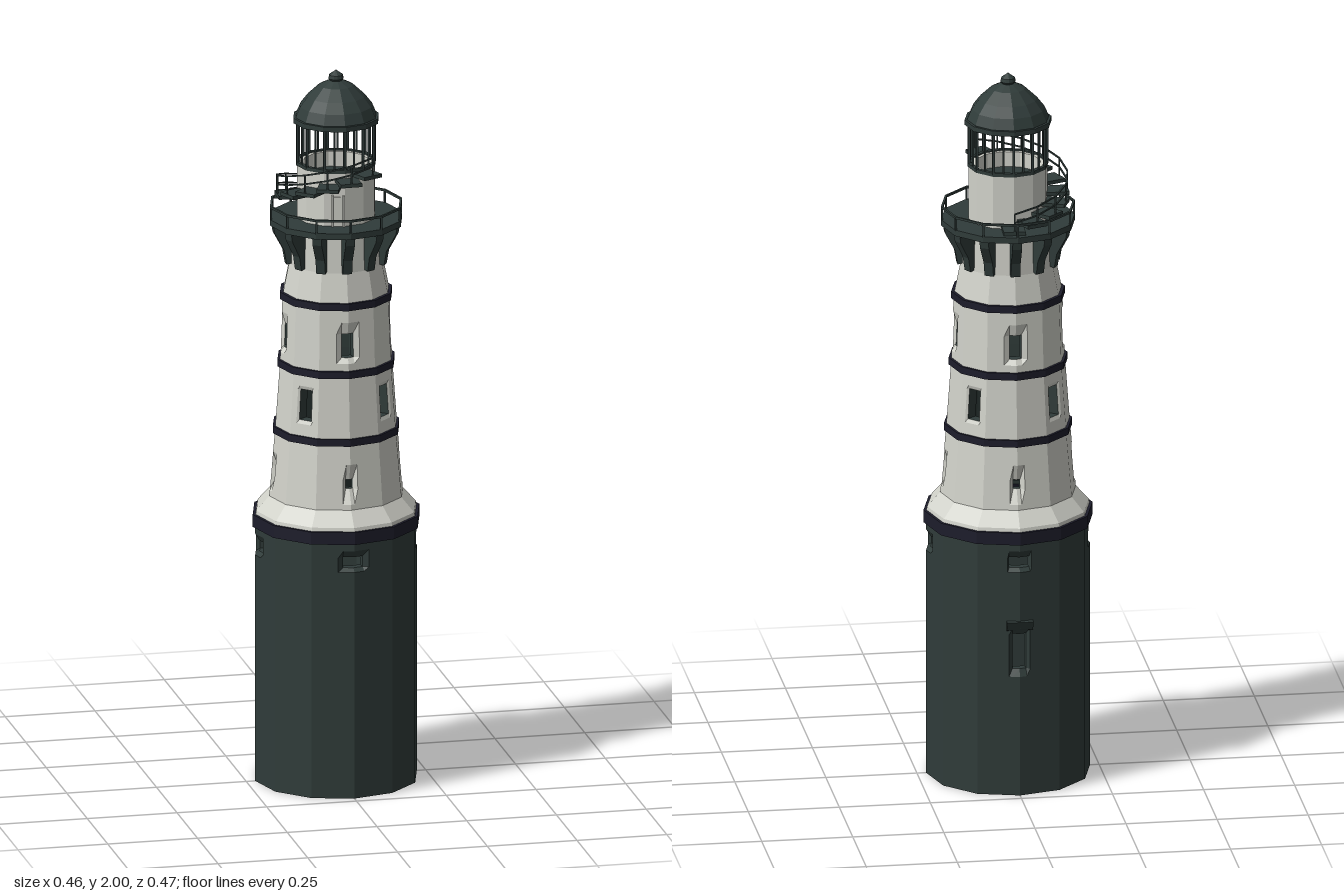
import * as THREE from 'three';

const SIDES = 12, RAD = Math.PI / 180;

const material = (name, color) => {
  const m = new THREE.MeshStandardMaterial({ color, flatShading: true });
  m.name = name;
  return m;
};

// Point at an angle (0 = front, 90 = left), radius and height
const polar = (deg, r, y) => new THREE.Vector3(Math.sin(deg * RAD) * r, y, Math.cos(deg * RAD) * r);
const angleGap = (a, b) => Math.abs(((a - b + 900) % 360) - 180);

// Hollow twelve-sided wall with real openings; returns [outer skin, lining and reveals]
function wallGeometries(profile, thickness, holes) {
  const radiusAt = (y) => {
    let i = 1;
    while (i < profile.length - 1 && y > profile[i][0]) i++;
    const [[y0, r0], [y1, r1]] = [profile[i - 1], profile[i]];
    return r0 + (r1 - r0) * (y - y0) / (y1 - y0);
  };
  const round = (v) => Math.round(v * 1e4) / 1e4;
  const angles = new Set(), heights = new Set(profile.map((p) => p[0]));
  for (let k = 0; k < SIDES; k++) angles.add(k * 30);
  for (const h of holes) {
    const r = radiusAt((h.y0 + h.y1) / 2);
    h.half = Math.atan(h.w / r) / RAD;
    const flare = Math.atan(h.flare / r) / RAD;
    for (const d of [-h.half, h.half, -flare, flare]) angles.add(round((h.a + d + 360) % 360));
    [h.bottom, h.y0, h.y1, h.top].forEach((y) => heights.add(y));
  }
  const th = [...angles].sort((a, b) => a - b), ys = [...heights].sort((a, b) => a - b);
  th.push(360);

  const facet = (t) => Math.cos(15 * RAD) / Math.cos(((t % 30) - 15) * RAD);
  const recess = (t, y) => {
    const h = holes.find((o) => angleGap(t, o.a) < o.half + 0.01 && y > o.y0 - 1e-4 && y < o.y1 + 1e-4);
    return h ? h.depth : 0;
  };
  const outer = (t, y) => polar(t, radiusAt(y) * facet(t) - recess(t, y), y);
  const inner = (t, y) => polar(t, (radiusAt(y) - thickness) * facet(t), y);
  const columns = th.length - 1;
  const open = (i, j) => {
    if (j < 0 || j >= ys.length - 1) return true;
    const c = (i + columns) % columns;
    const t = (th[c] + th[c + 1]) / 2, y = (ys[j] + ys[j + 1]) / 2;
    return holes.some((h) => angleGap(t, h.a) < h.half && y > h.y0 && y < h.y1);
  };

  const skin = [], lining = [];
  const quad = (list, a, b, c, d) => [a, b, c, a, c, d].forEach((p) => list.push(p.x, p.y, p.z));
  for (let i = 0; i < columns; i++) {
    for (let j = 0; j < ys.length - 1; j++) {
      if (open(i, j)) continue;
      const corners = [[i, j], [i + 1, j], [i + 1, j + 1], [i, j + 1]];
      const [o0, o1, o2, o3] = corners.map(([c, r]) => outer(th[c], ys[r]));
      const [n0, n1, n2, n3] = corners.map(([c, r]) => inner(th[c], ys[r]));
      quad(skin, o0, o1, o2, o3);
      quad(lining, n1, n0, n3, n2);
      if (open(i, j - 1)) quad(lining, n0, n1, o1, o0);
      if (open(i, j + 1)) quad(lining, o3, o2, n2, n3);
      if (open(i + 1, j)) quad(lining, o1, n1, n2, o2);
      if (open(i - 1, j)) quad(lining, n0, o0, o3, n3);
    }
  }
  return [skin, lining].map((list) => {
    const g = new THREE.BufferGeometry();
    g.setAttribute('position', new THREE.Float32BufferAttribute(list, 3));
    g.computeVertexNormals();
    return g;
  });
}

const lathe = (points) => new THREE.LatheGeometry(points.map(([r, y]) => new THREE.Vector2(r, y)), SIDES);
const ring = (r0, r1, y0, y1) => lathe([[r0, y0], [r1, y0], [r1, y1], [r0, y1], [r0, y0]]);

// Plate with a (radius, height) outline, centred on a radial direction
function fin(points, width, deg) {
  const shape = new THREE.Shape(points.map(([r, y]) => new THREE.Vector2(r, y)));
  const g = new THREE.ExtrudeGeometry(shape, { depth: width, bevelEnabled: false });
  return g.translate(0, 0, -width / 2).rotateY((deg - 90) * RAD);
}

export function createModel() {
  const model = new THREE.Group();
  model.name = 'lighthouse';
  const dark = material('darkGreen', 0x303c3a);
  const white = material('offWhite', 0xd2d3cb);
  const navy = material('navyBlack', 0x1d1d2b);

  const add = (name, geometry, mat, parent = model) => {
    const mesh = new THREE.Mesh(geometry, mat);
    mesh.name = name;
    parent.add(mesh);
    return mesh;
  };
  const group = (name) => {
    const g = new THREE.Group();
    g.name = name;
    model.add(g);
    return g;
  };
  const beam = (name, p, q, t, parent) => {
    const mesh = add(name, new THREE.BoxGeometry(t, t, p.distanceTo(q)), dark, parent);
    mesh.position.copy(p).lerp(q, 0.5);
    mesh.lookAt(q);
  };

  // Hollow base with slit windows and a rear doorway
  const axes = [0, 90, 180, 270];
  const baseHoles = axes.map((a) => (
    { a, w: 0.03, y0: 0.65, y1: 0.68, flare: 0.045, top: 0.7, bottom: 0.64, depth: 0.012 }));
  baseHoles.push({ a: 180, w: 0.02, y0: 0.36, y1: 0.46, flare: 0.034, top: 0.48, bottom: 0.34, depth: 0.012 });
  const [baseSkin, baseLining] = wallGeometries([[0, 0.225], [0.73, 0.225]], 0.035, baseHoles);
  add('baseWall', baseSkin, dark);
  add('baseLining', baseLining, dark);
  add('doorHood', fin([[0.205, 0.465], [0.222, 0.475], [0.235, 0.5], [0.205, 0.5]], 0.072, 180), dark);
  add('innerDoorScreen', new THREE.BoxGeometry(0.1, 0.4, 0.01).translate(0, 0.51, -0.15), dark);
  add('baseCollar', ring(0.18, 0.232, 0.72, 0.755), navy);

  // Tapering tower with three levels of windows
  const towerHoles = [];
  for (const a of axes) {
    towerHoles.push(
      { a, w: 0.011, y0: 0.86, y1: 0.885, flare: 0.05, top: 0.93, bottom: 0.82, depth: 0.018 },
      { a: a + 45, w: 0.02, y0: 1.045, y1: 1.13, flare: 0.026, top: 1.14, bottom: 1.035, depth: 0.004 },
      { a, w: 0.018, y0: 1.225, y1: 1.292, flare: 0.034, top: 1.325, bottom: 1.21, depth: 0.01 });
  }
  const towerProfile = [[0.75, 0.225], [0.765, 0.222], [0.805, 0.186], [0.99, 0.17], [1.18, 0.156],
    [1.37, 0.149], [1.46, 0.131], [1.575, 0.128]];
  const [towerSkin, towerLining] = wallGeometries(towerProfile, 0.035, towerHoles);
  add('towerWall', towerSkin, white);
  add('towerLining', towerLining, dark);
  for (const [r, y] of [[0.176, 0.992], [0.163, 1.18], [0.156, 1.37]])
    add('towerBand', ring(r - 0.025, r, y - 0.01, y + 0.01), navy);

  // Gallery deck, brackets and railing
  add('galleryDeck', ring(0.05, 0.184, 1.57, 1.587), dark);
  const brackets = group('galleryBrackets');
  const railing = group('galleryRailing');
  for (let k = 0; k < SIDES; k++) {
    const outline = [[0.12, 1.465], [0.14, 1.46], [0.147, 1.5], [0.174, 1.55], [0.178, 1.575], [0.12, 1.575]];
    add('bracket', fin(outline, 0.026, k * 30), dark, brackets);
    beam('post', polar(k * 30, 0.181, 1.585), polar(k * 30, 0.181, 1.624), 0.005, railing);
  }
  add('topRail', ring(0.178, 0.184, 1.619, 1.625), dark, railing);

  // Watch room below the lantern
  add('watchRoom', ring(0.09, 0.109, 1.585, 1.742), white);
  add('lanternFloor', ring(0, 0.1, 1.69, 1.7), dark);
  const door = group('watchRoomDoor');
  for (const deg of [-18, -2]) add('doorJamb', fin([[0.1, 1.587], [0.113, 1.587], [0.113, 1.675], [0.1, 1.675]], 0.005, deg), white, door);
  add('doorPanel', fin([[0.1, 1.587], [0.1085, 1.587], [0.1085, 1.67], [0.1, 1.67]], 0.03, -10), white, door);

  // Outer stair winding from the back, round the right side, to the front
  const stair = group('outerStair');
  const count = 10, stepAngle = 23;
  for (let k = 0; k < count; k++) {
    const deg = 178 + k * stepAngle, y = 1.598 + k * 0.0155;
    add('step', fin([[0.1, y - 0.01], [0.165, y - 0.01], [0.165, y], [0.1, y]], 0.06, deg), dark, stair);
    beam('stairPost', polar(deg, 0.163, y), polar(deg, 0.163, y + 0.05), 0.004, stair);
    if (k === count - 1) continue;
    for (const h of [0.025, 0.05])
      beam('stairRail', polar(deg, 0.163, y + h), polar(deg + stepAngle, 0.163, y + h + 0.0155), 0.004, stair);
  }

  // Open lantern cage
  const lantern = group('lantern');
  add('sillRing', ring(0.1, 0.111, 1.736, 1.746), dark, lantern);
  for (let k = 0; k < 24; k++) {
    const r = k % 2 ? 0.104 : 0.107;
    beam('bar', polar(k * 15, r, 1.742), polar(k * 15, r, 1.86), k % 2 ? 0.005 : 0.007, lantern);
  }
  add('eaveRing', ring(0.09, 0.119, 1.856, 1.87), dark, lantern);

  // Dome and finial
  add('dome', lathe([[0, 1.862], [0.112, 1.862], [0.112, 1.872], [0.1, 1.9], [0.079, 1.927],
    [0.047, 1.957], [0.02, 1.97], [0, 1.972]]), dark);
  add('finial', lathe([[0.013, 1.965], [0.021, 1.976], [0.019, 1.986], [0.008, 1.994], [0, 2]]), dark);

  return model;
}
